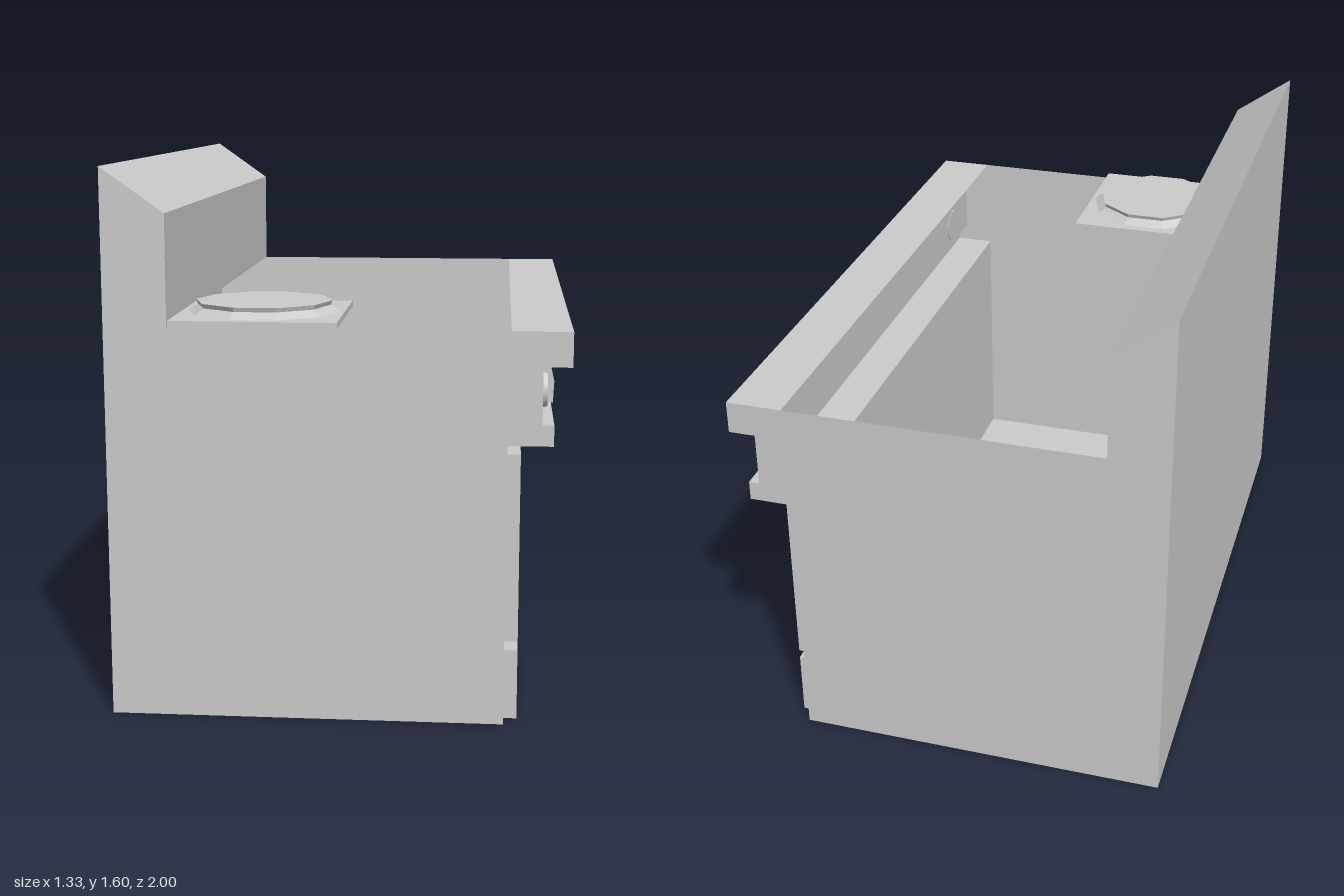
import * as THREE from 'three';

export function createModel() {
  const model = new THREE.Group();
  model.name = 'stoveCounter';
  const grey = new THREE.MeshStandardMaterial({ color: 0xcccccc, side: THREE.DoubleSide });
  grey.name = 'grey';

  const add = (name, geometry, x = 0, y = 0, z = 0, parent = model) => {
    const mesh = new THREE.Mesh(geometry, grey);
    mesh.name = name;
    mesh.position.set(x, y, z);
    parent.add(mesh);
    return mesh;
  };
  // box given by its lower and upper corners
  const box = (name, x0, x1, y0, y1, z0, z1) =>
    add(name, new THREE.BoxGeometry(x1 - x0, y1 - y0, z1 - z0),
      (x0 + x1) / 2, (y0 + y1) / 2, (z0 + z1) / 2);

  // Cabinet cross-section, from the worktop lip backwards over the splashback.
  // The worktop between the splashback and the lip is open.
  const profile = [
    [-0.48, 1.15], [-0.48, 1.47], [-0.663, 1.6], [-0.663, 0], [0.483, 0],
    [0.483, 0.825], [0.613, 0.825], [0.613, 0.885], [0.58, 0.885],
    [0.58, 1.05], [0.662, 1.05], [0.662, 1.15], [0.49, 1.15],
  ];

  // Thin shell swept along z, with separate corners for sharp edges
  const positions = [], index = [];
  for (let i = 0; i < profile.length - 1; i++) {
    const [ax, ay] = profile[i], [bx, by] = profile[i + 1];
    const n = i * 4;
    positions.push(ax, ay, 1, ax, ay, -1, bx, by, -1, bx, by, 1);
    index.push(n, n + 1, n + 2, n, n + 2, n + 3);
  }
  const shell = new THREE.BufferGeometry();
  shell.setAttribute('position', new THREE.Float32BufferAttribute(positions, 3));
  shell.setIndex(index);
  shell.computeVertexNormals();
  add('cabinetShell', shell);

  // End walls
  const endShape = new THREE.Shape(profile.map(([x, y]) => new THREE.Vector2(x, y)));
  for (const side of [1, -1]) {
    const wall = add(side > 0 ? 'leftEndWall' : 'rightEndWall',
      new THREE.ShapeGeometry(endShape), 0, 0, side);
    wall.scale.z = side;
  }

  // Doors with drawers below
  for (const side of [1, -1]) {
    const z0 = side > 0 ? 0.05 : -0.95;
    box('door', 0.483, 0.522, 0.235, 0.79, z0, z0 + 0.9);
    box('drawer', 0.483, 0.522, 0, 0.208, z0, z0 + 0.9);
  }

  // Hob plate and ten-sided burner
  box('hobPlate', -0.478, 0.003, 1.15, 1.168, 0.5, 1);
  const ring = [[0, 1.168], [0.228, 1.168], [0.207, 1.181], [0.198, 1.187], [0.203, 1.2], [0, 1.2]]
    .map(([r, y]) => new THREE.Vector2(r, y));
  const burner = new THREE.LatheGeometry(ring, 10, Math.PI / 2).toNonIndexed();
  burner.computeVertexNormals();
  add('burner', burner, -0.237, 0, 0.75);

  // Control knob: round base and bevelled pointer grip
  const knob = new THREE.Group();
  knob.name = 'controlKnob';
  knob.position.set(0.577, 0.957, 0.818);
  model.add(knob);
  const base = add('knobBase', new THREE.CylinderGeometry(0.05, 0.056, 0.02, 24), 0.01, 0, 0, knob);
  base.rotation.z = -Math.PI / 2;
  const grip = new THREE.Shape([
    [0, -0.037], [0.036, -0.037], [0.039, 0.025], [0.03, 0.063], [0.015, 0.068], [0, 0.06],
  ].map(([x, y]) => new THREE.Vector2(x, y)));
  add('knobGrip', new THREE.ExtrudeGeometry(grip, { depth: 0.027, bevelEnabled: false }),
    0, 0, -0.0135, knob);

  return model;
}
